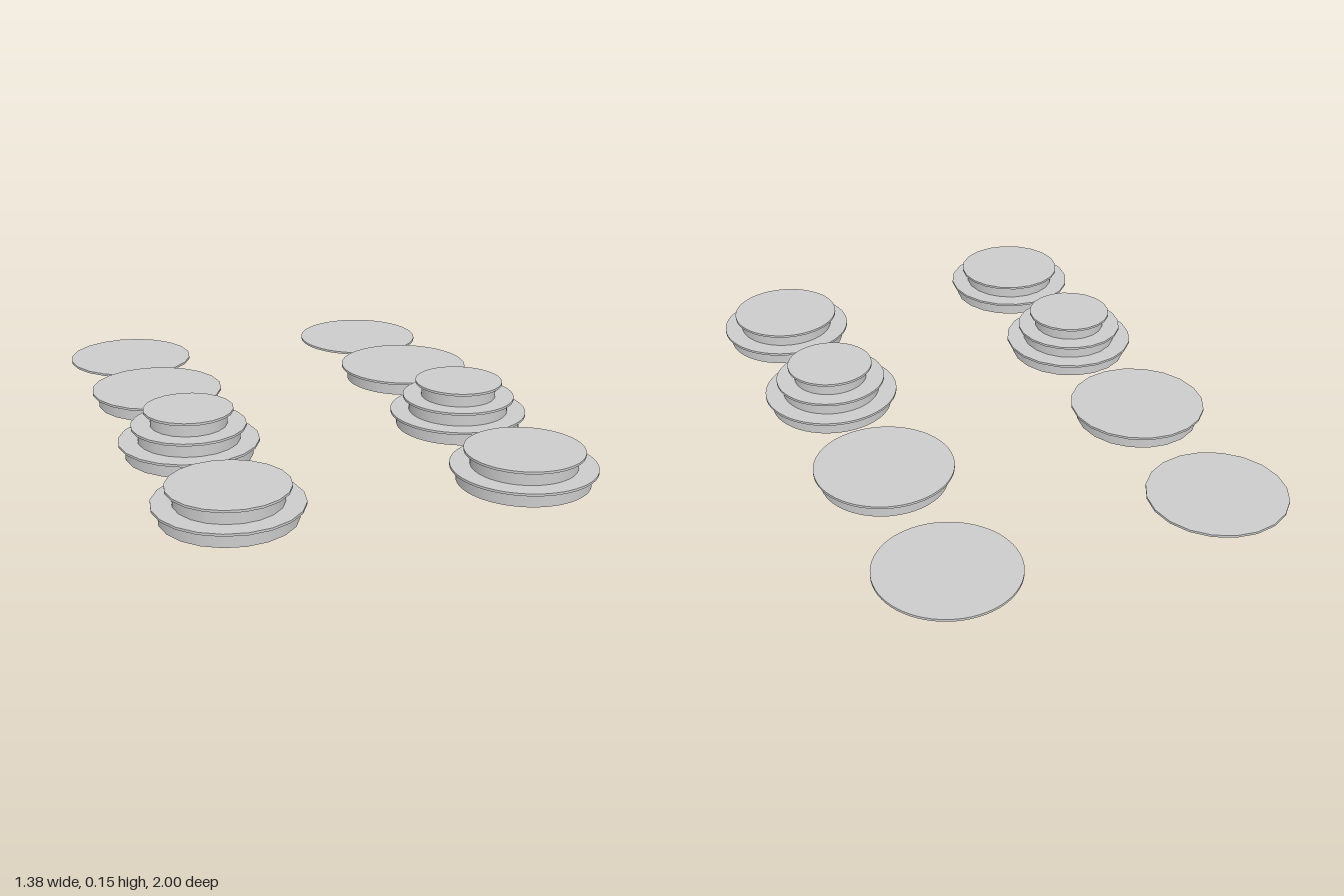
import * as THREE from 'three';

const PITCH = 0.5155;      // spacing between stacks along z
const COLUMN_X = 0.464;    // offset of each column from the centre
const TIER = 0.0515;       // height of one tier
const SLAB = 0.0077;       // thickness of a slab
const STEP = 0.0412;       // radius lost per tier
const SLAB_R = 0.2268, WALL_R = 0.2062;

const material = new THREE.MeshStandardMaterial({ color: 0xcccccc });

function disc(name, radius, bottom, height, sides) {
  const mesh = new THREE.Mesh(new THREE.CylinderGeometry(radius, radius, height, sides), material);
  mesh.position.y = bottom + height / 2;
  mesh.name = name;
  return mesh;
}

// A stack of stepped tiers, each a recessed wall under an overhanging slab.
// With no tiers it is a single slab lying on the ground.
function roundStack(tiers, sides) {
  const stack = new THREE.Group();
  if (tiers === 0) stack.add(disc('groundSlab', SLAB_R, 0, SLAB, sides));
  for (let i = 0; i < tiers; i++) {
    const y = i * TIER;
    stack.add(disc('tierWall', WALL_R - i * STEP, y, TIER - SLAB, sides));
    stack.add(disc('tierSlab', SLAB_R - i * STEP, y + TIER - SLAB, SLAB, sides));
  }
  return stack;
}

export function createModel() {
  const model = new THREE.Group();
  model.name = 'roundPlatforms';
  const tiersPerRow = [0, 1, 3, 2]; // back to front

  // Coarse column on the right, smooth column on the left
  for (const [column, x, sides] of [['right', -COLUMN_X, 20], ['left', COLUMN_X, 64]]) {
    tiersPerRow.forEach((tiers, row) => {
      const stack = roundStack(tiers, sides);
      stack.name = `${column}Stack${row + 1}`;
      stack.position.set(x, 0, (row - 1.5) * PITCH);
      model.add(stack);
    });
  }
  return model;
}
